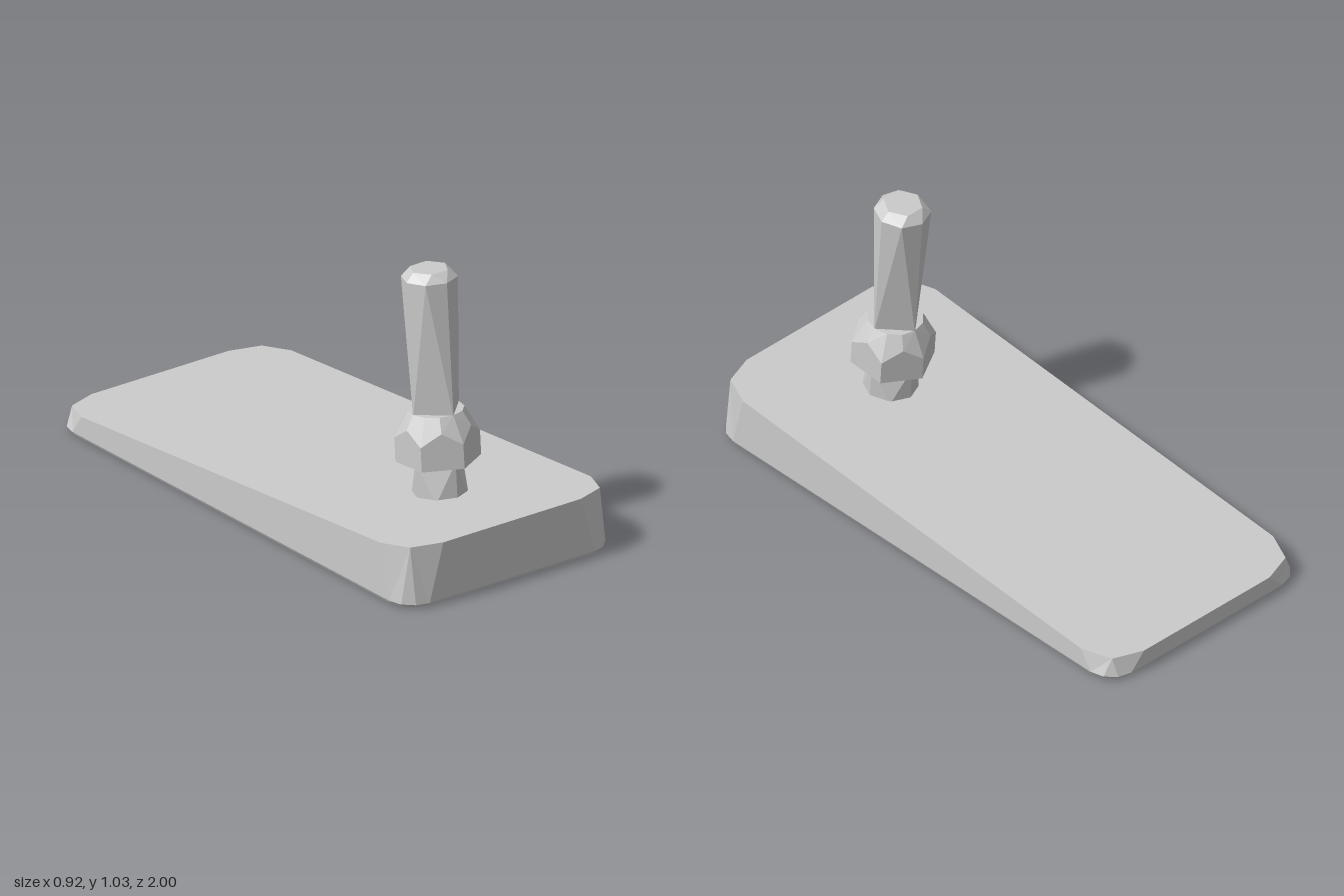
import * as THREE from 'three';

const V = (x, y, z) => new THREE.Vector3(x, y, z);
const flatDistance = (a, b) => Math.hypot(a.x - b.x, a.z - b.z);

// Regular ring of points around the y axis
function ring(count, radius, y, turn = 0) {
  return Array.from({ length: count }, (_, i) => {
    const a = turn + (i / count) * Math.PI * 2;
    return V(radius * Math.cos(a), y, radius * Math.sin(a));
  });
}

// Joins rings from bottom to top, even with unequal counts, and caps both ends
function loft(rings) {
  const points = [];
  for (let r = 0; r + 1 < rings.length; r++) {
    const a = rings[r], b = rings[r + 1];
    let i = 0, j = 0;
    while (i < a.length || j < b.length) {
      const a0 = a[i % a.length], a1 = a[(i + 1) % a.length];
      const b0 = b[j % b.length], b1 = b[(j + 1) % b.length];
      const lower = j >= b.length ||
        (i < a.length && flatDistance(a1, b0) < flatDistance(a0, b1));
      points.push(a0, b0, lower ? a1 : b1);
      if (lower) i++; else j++;
    }
  }
  const bottom = rings[0], top = rings[rings.length - 1];
  for (let i = 1; i + 1 < bottom.length; i++) points.push(bottom[0], bottom[i], bottom[i + 1]);
  for (let i = 1; i + 1 < top.length; i++) points.push(top[0], top[i + 1], top[i]);
  const geometry = new THREE.BufferGeometry().setFromPoints(points);
  geometry.computeVertexNormals();
  return geometry;
}

// Rectangle outline with each corner given as points running from the side to the end
function cornered(corner, height) {
  const back = corner.slice().reverse();
  return [
    ...corner.map(([x, z]) => [x, z]),
    ...back.map(([x, z]) => [-x, z]),
    ...corner.map(([x, z]) => [-x, -z]),
    ...back.map(([x, z]) => [x, -z]),
  ].map(([x, z]) => V(x, height(z), z));
}

function roundCorner(inset) {
  const radius = 0.1;
  return [0, 1, 2, 3].map((k) => {
    const a = (k / 3) * Math.PI / 2;
    return [0.46 - inset - radius * (1 - Math.cos(a)), 1 - inset - radius * (1 - Math.sin(a))];
  });
}

export function createModel() {
  const group = new THREE.Group();
  const material = new THREE.MeshStandardMaterial({ color: 0xcccccc, flatShading: true });
  const add = (parent, name, rings) => {
    const mesh = new THREE.Mesh(loft(rings), material);
    mesh.name = name;
    parent.add(mesh);
  };

  // Wedge base: rounded lower edge, coarser corners on the sloping top
  const slope = 0.075;
  add(group, 'wedgeBase', [
    cornered(roundCorner(0.018), () => 0),
    cornered(roundCorner(0.006), () => 0.005),
    cornered(roundCorner(0), () => 0.016),
    cornered([[0.46, 0.85], [0.415, 0.96], [0.3, 1]], (z) => 0.155 + slope * z),
  ]);

  // Post stands square to the sloping top
  const post = new THREE.Group();
  post.name = 'post';
  post.position.set(0, 0.2, 0.59);
  post.rotation.x = -Math.atan(slope);
  group.add(post);

  // Lower stem, octagonal at the foot
  add(post, 'lowerStem', [ring(8, 0.1, -0.015), ring(4, 0.1, 0.13)]);

  // Hexagonal collar: the chamfer dips at corners and rises at face centres
  const hexRing = (cornerY, middleY) => ring(12, 1, 0, Math.PI / 6).map((p, i) => {
    const middle = i % 2 === 1;
    const radius = middle ? 0.15 * Math.cos(Math.PI / 6) : 0.15;
    return V(p.x * radius, middle ? middleY : cornerY, p.z * radius);
  });
  add(post, 'collar', [
    hexRing(0.12, 0.12),
    hexRing(0.21, 0.255),
    ring(12, 0.1, 0.305, Math.PI / 6),
  ]);

  // Upper rod: four-cornered foot, octagonal shoulder, small hexagonal tip
  add(post, 'upperRod', [
    ring(4, 0.1, 0.295),
    ring(8, 0.1, 0.795),
    ring(6, 0.07, 0.825),
  ]);

  return group;
}
